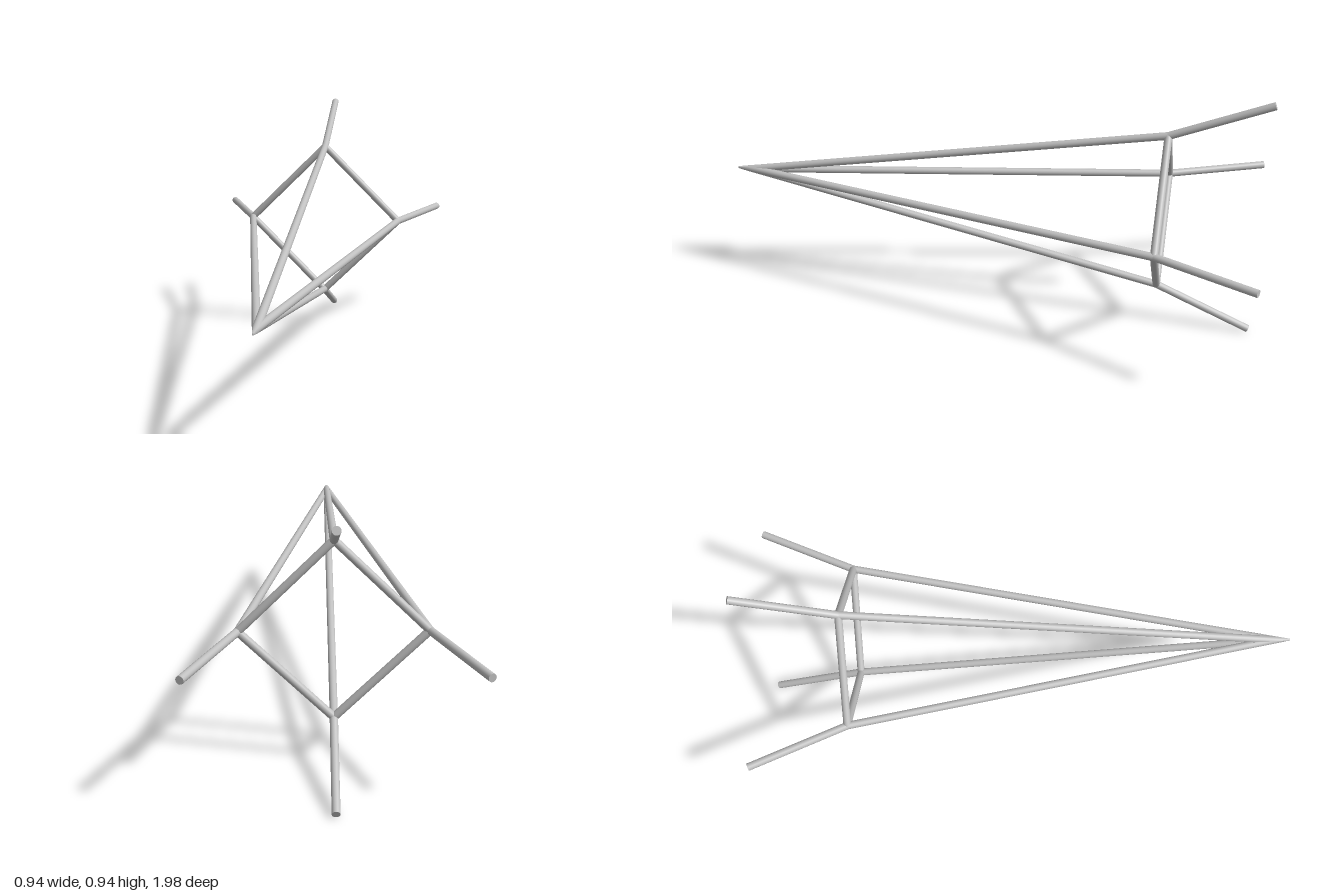
import * as THREE from 'three';

const RADIUS = 0.0138;
const CENTER_Y = 0.47;
const TIP_Z = 0.928;

// Round rod from a to b; each end may be mitred by planes through it,
// given as a function from a point to the normal of the plane cutting there.
function rodGeometry(a, b, startCut, endCut) {
  const dir = b.clone().sub(a);
  const length = dir.length();
  dir.normalize();
  const geo = new THREE.CylinderGeometry(RADIUS, RADIUS, length, 16);
  const pos = geo.attributes.position;
  const isEnd = Array.from({ length: pos.count }, (_, i) => pos.getY(i) > 0);
  geo.applyQuaternion(new THREE.Quaternion().setFromUnitVectors(new THREE.Vector3(0, 1, 0), dir));
  const mid = a.clone().add(b).multiplyScalar(0.5);
  geo.translate(mid.x, mid.y, mid.z);
  const v = new THREE.Vector3();
  for (let i = 0; i < pos.count; i++) {
    const cut = isEnd[i] ? endCut : startCut;
    if (!cut) continue;
    v.fromBufferAttribute(pos, i);
    const normal = cut(v);
    const offset = v.clone().sub(isEnd[i] ? b : a).dot(normal) / dir.dot(normal);
    v.addScaledVector(dir, -offset);
    pos.setXYZ(i, v.x, v.y, v.z);
  }
  return geo;
}

export function createModel() {
  const model = new THREE.Group();
  model.name = 'rodFrame';
  const metal = new THREE.MeshStandardMaterial({ color: 0xc0c0c0 });
  metal.name = 'light grey metal';

  // One quarter of the frame, lying in the plane y = 0
  const tip = new THREE.Vector3(0, 0, TIP_Z);
  const joint = new THREE.Vector3(0.308, 0, -0.645);
  const tail = new THREE.Vector3(0.457, 0, -0.9946);
  const nextJoint = new THREE.Vector3(0, 0.308, -0.645);
  const bend = joint.clone().sub(tip).normalize()
    .add(tail.clone().sub(joint).normalize()).normalize();
  const bendCut = () => bend;
  // The four long rods meet along the diagonal planes and form a sharp point
  const tipCut = (v) => new THREE.Vector3(1, -Math.sign(v.y), 0);

  const parts = {
    longRod: rodGeometry(tip, joint, tipCut, bendCut),
    flaredRod: rodGeometry(joint, tail, bendCut, null),
    crossBrace: rodGeometry(joint, nextJoint, null, null),
  };

  // Four quarters around the long axis
  for (let i = 0; i < 4; i++) {
    const quarter = new THREE.Group();
    quarter.name = `frameQuarter${i + 1}`;
    quarter.rotation.z = i * Math.PI / 2;
    quarter.position.y = CENTER_Y;
    for (const [name, geometry] of Object.entries(parts)) {
      const mesh = new THREE.Mesh(geometry, metal);
      mesh.name = name;
      quarter.add(mesh);
    }
    model.add(quarter);
  }
  return model;
}
